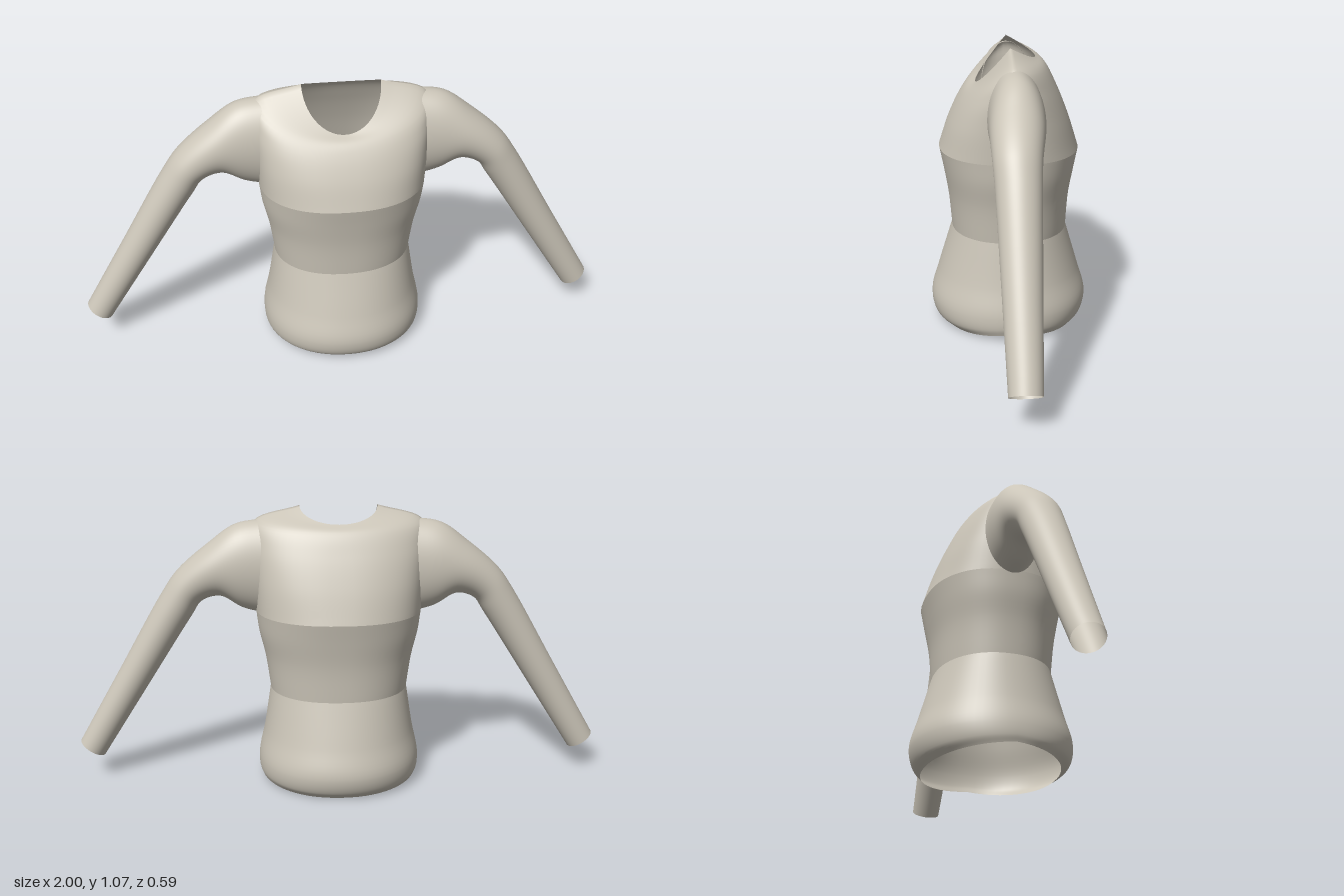
import * as THREE from 'three';

const fabric = new THREE.MeshStandardMaterial({ color: 0xcbc5b8, side: THREE.DoubleSide });
fabric.name = 'warm grey fabric';

const SIDES = 64;
const power = (v, p) => Math.sign(v) * Math.pow(Math.abs(v), p);

// Lofts closed rings: pointAt(key, angle) gives a point on each key ring,
// and a smooth curve runs through the rings at every angle.
function loft(name, keys, pointAt, steps) {
  const positions = [];
  const index = [];
  for (let i = 0; i < SIDES; i++) {
    const angle = (i / SIDES) * Math.PI * 2;
    const curve = new THREE.CatmullRomCurve3(keys.map((k) => pointAt(k, angle)), false, 'centripetal');
    for (let j = 0; j <= steps; j++) positions.push(...curve.getPoint(j / steps).toArray());
  }
  const row = steps + 1;
  for (let i = 0; i < SIDES; i++) {
    const next = (i + 1) % SIDES;
    for (let j = 0; j < steps; j++) {
      const a = i * row + j;
      const b = next * row + j;
      index.push(a, a + 1, b, b, a + 1, b + 1);
    }
  }
  const geometry = new THREE.BufferGeometry();
  geometry.setAttribute('position', new THREE.Float32BufferAttribute(positions, 3));
  geometry.setIndex(index);
  geometry.computeVertexNormals();
  const mesh = new THREE.Mesh(geometry, fabric);
  mesh.name = name;
  return mesh;
}

// Torso ring: heights at side, front and back, half width, front and back depth, squareness
function torsoPoint([ySide, yFront, yBack, width, front, back, n], angle) {
  const c = Math.cos(angle);
  const s = Math.sin(angle);
  const yEnd = s > 0 ? yFront : yBack;
  return new THREE.Vector3(
    width * power(c, 2 / n),
    ySide + (yEnd - ySide) * Math.abs(s),
    (s > 0 ? front : back) * power(s, 2 / n)
  );
}

// Sleeve ring: upper point, lower point and half depth
function sleevePoint([x1, y1, x2, y2, depth, shift], angle) {
  const c = Math.cos(angle) / 2;
  return new THREE.Vector3(
    (x1 + x2) / 2 + (x1 - x2) * c,
    (y1 + y2) / 2 + (y1 - y2) * c,
    shift - depth * Math.sin(angle)
  );
}

export function createModel() {
  const shirt = new THREE.Group();
  shirt.name = 'longSleeveShirt';

  const waist = [0.37, 0.37, 0.37, 0.26, 0.215, 0.218, 2.2];
  const chest = [0.68, 0.68, 0.68, 0.31, 0.26, 0.26, 2.3];

  // Rounded hem and hips
  shirt.add(loft('hips', [
    [0.025, 0, 0, 0.3, 0.245, 0.25, 2.1],
    [0.05, 0.03, 0.03, 0.308, 0.282, 0.28, 2.1],
    [0.1, 0.095, 0.095, 0.308, 0.296, 0.296, 2.1],
    [0.2, 0.2, 0.2, 0.287, 0.268, 0.268, 2.1],
    waist,
  ], torsoPoint, 24));

  // Waist up to the bust line
  shirt.add(loft('waist', [
    waist,
    [0.5, 0.5, 0.5, 0.278, 0.227, 0.227, 2.25],
    [0.6, 0.6, 0.6, 0.3, 0.244, 0.244, 2.3],
    chest,
  ], torsoPoint, 15));

  // Chest, shoulders and scooped neck opening
  shirt.add(loft('chestAndShoulders', [
    chest,
    [0.82, 0.78, 0.8, 0.318, 0.225, 0.222, 2.4],
    [0.94, 0.86, 0.91, 0.323, 0.185, 0.178, 2.3],
    [1.012, 0.9, 0.99, 0.31, 0.155, 0.135, 2.1],
    [1.066, 0.92, 1.013, 0.143, 0.122, 0.1, 2],
  ], torsoPoint, 28));

  // Sleeves, open at the cuffs
  const sleeveRings = [
    [0.26, 1.02, 0.27, 0.66, 0.1, -0.01],
    [0.38, 1.0, 0.36, 0.685, 0.1, -0.01],
    [0.48, 0.93, 0.44, 0.73, 0.095, -0.006],
    [0.6, 0.825, 0.51, 0.71, 0.084, 0],
    [0.66, 0.74, 0.55, 0.653, 0.079, 0],
    [0.83, 0.445, 0.73, 0.372, 0.067, 0],
    [1.0, 0.15, 0.91, 0.09, 0.056, 0],
  ];
  for (const side of [1, -1]) {
    const arm = new THREE.Group();
    arm.name = side > 0 ? 'leftSleeve' : 'rightSleeve';
    arm.add(loft('sleeve', sleeveRings, sleevePoint, 36));
    arm.scale.x = side;
    shirt.add(arm);
  }

  return shirt;
}
